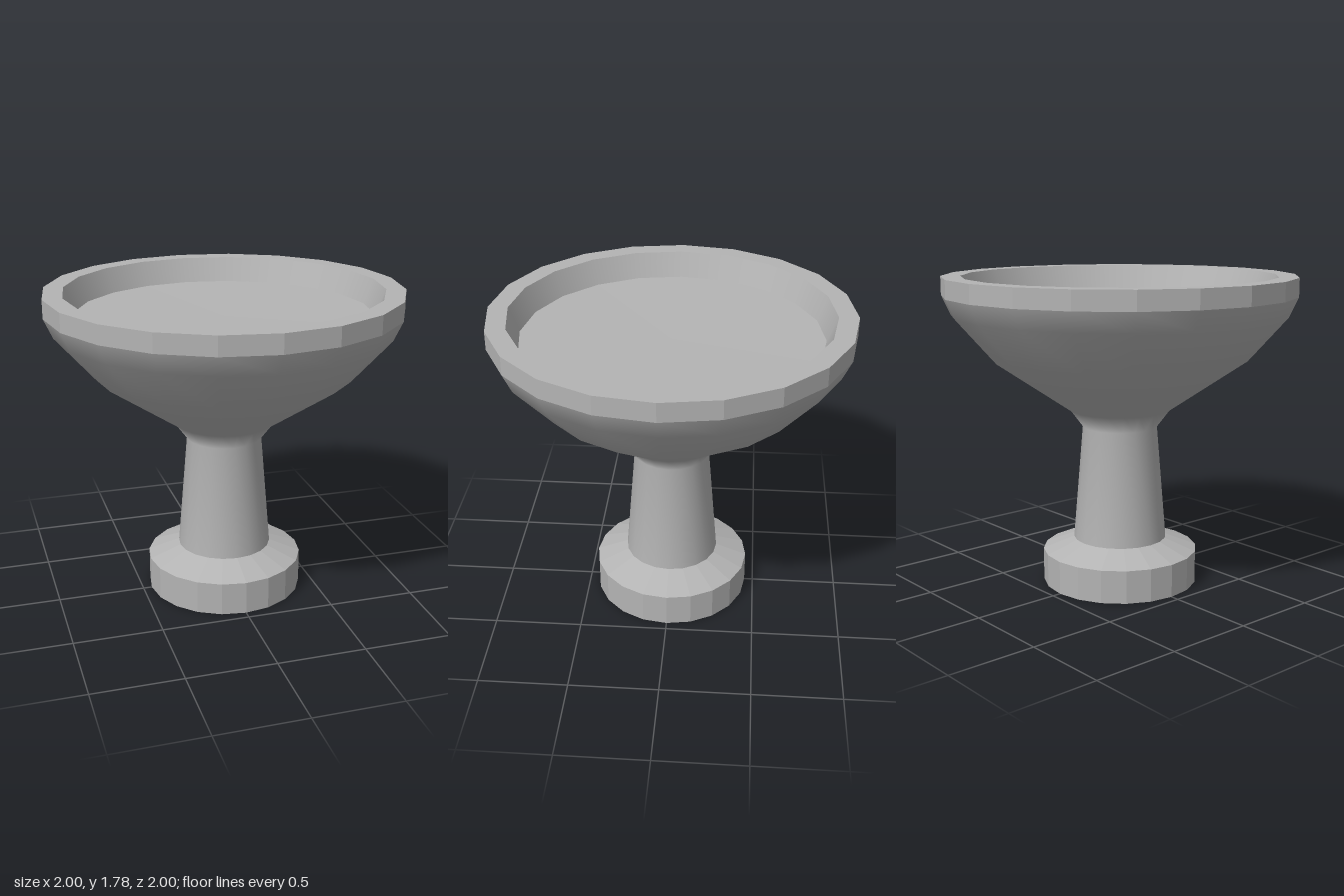
import * as THREE from 'three';

const SIDES = 20;
const stone = new THREE.MeshStandardMaterial({ color: 0xb4b4b4 });
stone.name = 'grey stone';

// Revolved part from [radius, height] points; faceted parts get flat normals
function ring(name, points, faceted) {
  let geometry = new THREE.LatheGeometry(points.map(([r, y]) => new THREE.Vector2(r, y)), SIDES);
  if (faceted) {
    geometry = geometry.toNonIndexed();
    geometry.computeVertexNormals();
  }
  const mesh = new THREE.Mesh(geometry, stone);
  mesh.name = name;
  return mesh;
}

export function createModel() {
  const group = new THREE.Group();
  group.name = 'pedestalBasin';
  group.add(
    // Foot: closed underside, straight wall and sloped shoulder
    ring('foot', [[0, 0], [0.45, 0], [0.45, 0.19], [0.27, 0.26]], true),
    // Tapered stem flowing smoothly into the bowl
    ring('stemAndBowl', [[0.27, 0.26], [0.215, 0.92], [0.29, 1.02], [0.73, 1.32], [0.95, 1.57], [1, 1.68]], false),
    // Faceted rim band with its flat lip
    ring('rim', [[1, 1.68], [1, 1.785], [0.89, 1.785]], true),
    // Inner wall of the basin
    ring('basinWall', [[0.89, 1.785], [0.835, 1.645]], false),
    // Very shallow dished floor
    ring('basinFloor', [[0.835, 1.645], [0, 1.63]], true),
  );
  return group;
}
